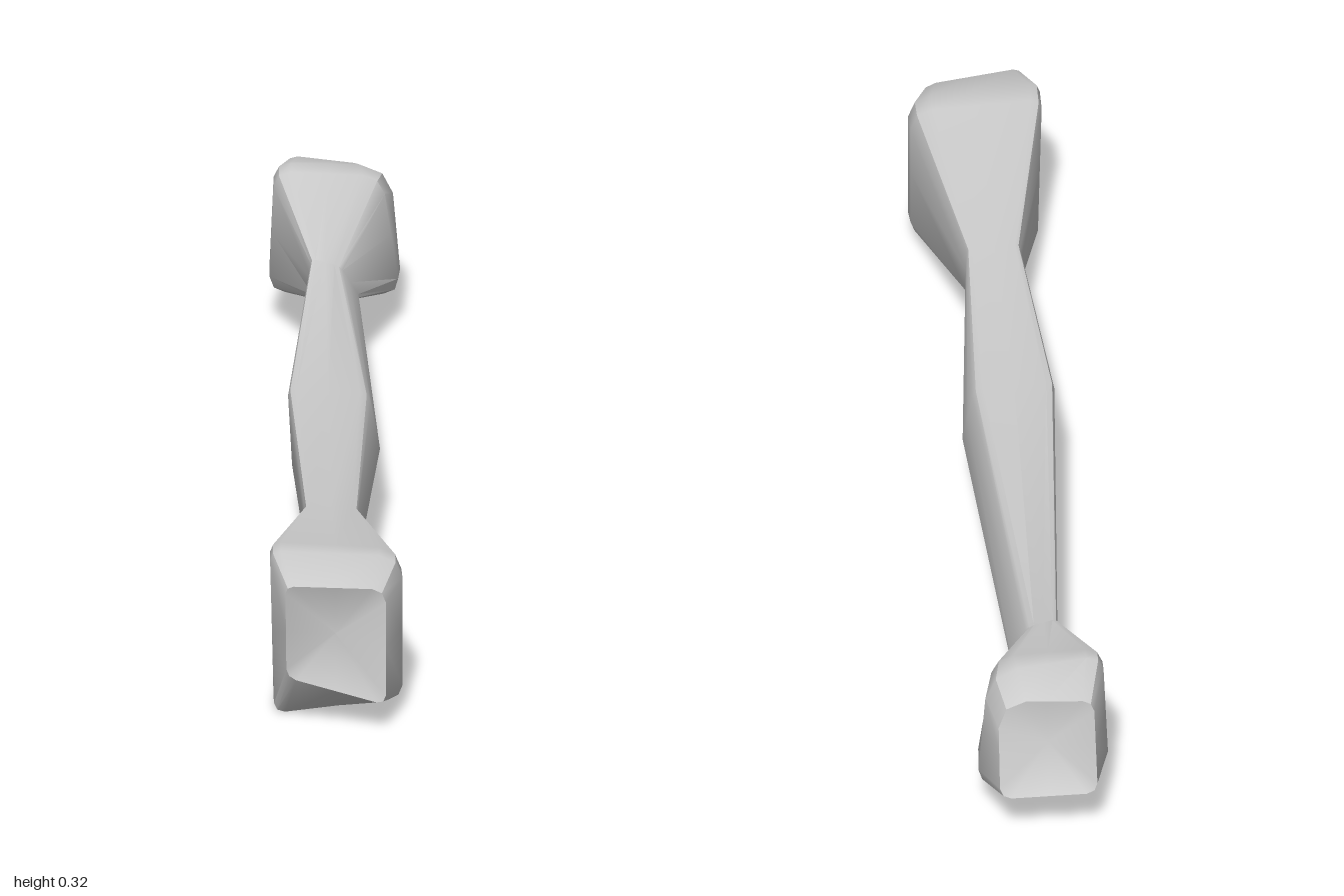
import * as THREE from 'three';
import { mergeVertices, toCreasedNormals } from 'three/addons/utils/BufferGeometryUtils.js';

// Sections from back to front: corners [x, y, z, rounding] in the order
// top right (+x), top left, bottom left, bottom right
const sections = [
  // back rim and knob, with one blunted corner
  [[0.085, 0.272, -0.945, 0.05], [-0.087, 0.283, -0.97, 0.02], [-0.092, 0.1, -1, 0.02], [0.085, 0.095, -1, 0.02]],
  [[0.1, 0.297, -0.89, 0.055], [-0.11, 0.313, -0.87, 0.03], [-0.12, 0.075, -0.88, 0.03], [0.12, 0.06, -0.9, 0.03]],
  [[0.085, 0.298, -0.84, 0.035], [-0.11, 0.308, -0.84, 0.03], [-0.12, 0.07, -0.84, 0.03], [0.118, 0.066, -0.84, 0.03]],
  // shaft: back waist, middle, front waist
  [[0.008, 0.212, -0.63, 0.01], [-0.045, 0.227, -0.63, 0.01], [-0.04, 0.145, -0.63, 0.01], [0.047, 0.148, -0.63, 0.01]],
  [[0.06, 0.258, 0.05, 0.016], [-0.087, 0.269, 0.05, 0.016], [-0.078, 0.1, 0.05, 0.016], [0.083, 0.132, 0.05, 0.016]],
  [[0.04, 0.237, 0.52, 0.01], [-0.057, 0.242, 0.52, 0.01], [-0.052, 0.127, 0.52, 0.01], [0.043, 0.138, 0.52, 0.01]],
  // front knob and rim
  [[0.118, 0.304, 0.86, 0.04], [-0.12, 0.318, 0.86, 0.02], [-0.113, 0.002, 0.87, 0.02], [0.118, 0.032, 0.86, 0.025]],
  [[0.12, 0.306, 0.9, 0.042], [-0.12, 0.321, 0.91, 0.02], [-0.112, -0.003, 0.9, 0.02], [0.12, 0.027, 0.9, 0.025]],
  [[0.09, 0.275, 0.98, 0.025], [-0.092, 0.29, 1, 0.015], [-0.09, 0.098, 0.972, 0.018], [0.09, 0.056, 1, 0.018]],
];

// Rounded four-sided loop, counterclockwise from the front
function ring(section) {
  const corners = section.map(([x, y, z]) => new THREE.Vector3(x, y, z));
  return corners.flatMap((p, i) => {
    const r = section[i][3];
    const next = corners[(i + 1) % 4];
    const a = corners[(i + 3) % 4].clone().sub(p).setLength(r);
    const b = next.clone().sub(p).setLength(r);
    const arc = [0, Math.PI / 4, Math.PI / 2].map((t) =>
      p.clone().addScaledVector(a, 1 - Math.sin(t)).addScaledVector(b, 1 - Math.cos(t)));
    return [...arc, p.clone().lerp(next, 0.5)];
  });
}

function buildBone() {
  const rings = sections.map(ring);
  const n = rings[0].length;
  const last = rings.length - 1;
  const vertices = rings.flat();
  const index = [];

  // skin between the sections
  for (let s = 0; s < last; s++) {
    for (let i = 0; i < n; i++) {
      const a = s * n + i, b = s * n + ((i + 1) % n);
      index.push(a, b, b + n, a, b + n, a + n);
    }
  }

  // hollow end faces
  for (const [s, depth] of [[0, 0.025], [last, -0.03]]) {
    const centre = rings[s].reduce((sum, p) => sum.add(p), new THREE.Vector3()).divideScalar(n);
    centre.z += depth;
    const hub = vertices.push(centre) - 1;
    for (let i = 0; i < n; i++) {
      const a = s * n + i, b = s * n + ((i + 1) % n);
      if (s === 0) index.push(hub, b, a);
      else index.push(hub, a, b);
    }
  }

  const geometry = new THREE.BufferGeometry().setFromPoints(vertices);
  geometry.setIndex(index);
  return toCreasedNormals(mergeVertices(geometry), 0.6);
}

export function createModel() {
  const group = new THREE.Group();
  group.name = 'bone';
  const bone = new THREE.Mesh(buildBone(), new THREE.MeshStandardMaterial({ color: 0xcccccc }));
  bone.name = 'boneShaftAndKnobs';
  group.add(bone);
  return group;
}
